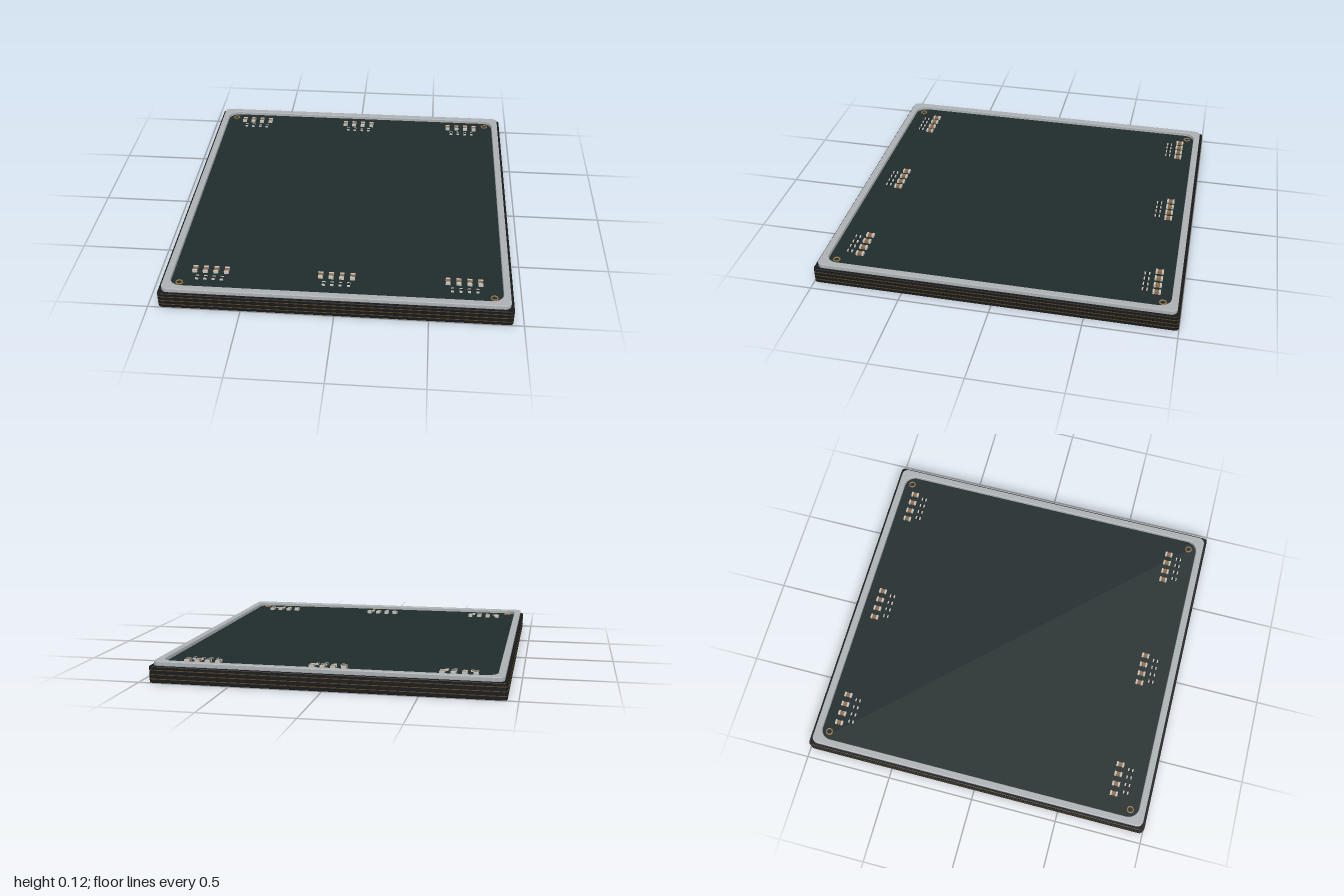
import * as THREE from 'three';

const mat = (name, color) => {
  const m = new THREE.MeshStandardMaterial({ color });
  m.name = name;
  return m;
};
const M = {
  base: mat('black laminate', 0x191919),
  board: mat('dark green solder mask', 0x202c2c),
  frame: mat('light grey metal', 0xacb1b4),
  copper: mat('copper', 0x9a7442),
  foil: mat('dull copper edge', 0x594826),
  tin: mat('tin', 0xc4c2bc),
  ceramic: mat('tan ceramic', 0x8f6a48),
  resistor: mat('black ceramic', 0x1c1c1e),
};

// Rounded rectangle outline, usable as a shape or a hole
function roundRect(hx, hz, r, P = THREE.Shape) {
  const s = new P();
  s.moveTo(-hx + r, -hz);
  s.lineTo(hx - r, -hz);
  s.absarc(hx - r, -hz + r, r, -Math.PI / 2, 0);
  s.lineTo(hx, hz - r);
  s.absarc(hx - r, hz - r, r, 0, Math.PI / 2);
  s.lineTo(-hx + r, hz);
  s.absarc(-hx + r, hz - r, r, Math.PI / 2, Math.PI);
  s.lineTo(-hx, -hz + r);
  s.absarc(-hx + r, -hz + r, r, Math.PI, Math.PI * 1.5);
  return s;
}

// Horizontal slab from y0 to y1, with an optional edge bevel
function slab(name, shape, y0, y1, material, bevel = 0) {
  const g = new THREE.ExtrudeGeometry(shape, {
    depth: y1 - y0 - 2 * bevel, curveSegments: 6, bevelEnabled: bevel > 0,
    bevelThickness: bevel, bevelSize: bevel, bevelOffset: -bevel, bevelSegments: 2,
  });
  g.rotateX(-Math.PI / 2);
  g.translate(0, y0 + bevel, 0);
  const mesh = new THREE.Mesh(g, material);
  mesh.name = name;
  return mesh;
}

function box(name, w, h, d, x, y, z, material) {
  const mesh = new THREE.Mesh(new THREE.BoxGeometry(w, h, d), material);
  mesh.position.set(x, y, z);
  mesh.name = name;
  return mesh;
}

// Small surface-mount part: body with a tin cap at each end
function chip(name, w, h, d, bodyMaterial) {
  const g = new THREE.Group();
  g.name = name;
  const cap = d * 0.24;
  g.add(box('body', w * 0.88, h * 0.92, d - 2 * cap, 0, h * 0.46, 0, bodyMaterial));
  for (const s of [-1, 1]) g.add(box('endCap', w, h, cap, 0, h / 2, s * (d - cap) / 2, M.tin));
  return g;
}

export function createModel() {
  const model = new THREE.Group();
  model.name = 'circuitBoardPanel';
  const boardTop = 0.094;

  // Laminated base with thin copper layers showing at the edge
  model.add(slab('base', roundRect(0.944, 0.999, 0.02), 0, 0.09, M.base, 0.003));
  for (const y of [0.022, 0.046, 0.07])
    model.add(slab('copperLayer', roundRect(0.945, 1, 0.02), y - 0.002, y + 0.002, M.foil));

  // Board surface
  model.add(slab('boardSurface', roundRect(0.9, 0.955, 0.02), 0.088, boardTop, M.board));

  // Raised metal frame
  const frame = roundRect(0.928, 0.983, 0.035);
  frame.holes.push(roundRect(0.89, 0.945, 0.065, THREE.Path));
  model.add(slab('frame', frame, 0.089, 0.115, M.frame, 0.004));

  // Copper rings round the corner holes
  for (const x of [-0.842, 0.842]) for (const z of [-0.902, 0.898]) {
    const ring = new THREE.Mesh(new THREE.TorusGeometry(0.018, 0.004, 6, 8), M.copper);
    ring.rotation.x = Math.PI / 2;
    ring.position.set(x, boardTop + 0.001, z);
    ring.name = 'mountingRing';
    model.add(ring);
  }

  // Six clusters: four capacitors and four smaller resistors each
  for (const x of [-0.69, -0.003, 0.685]) for (const z of [-0.862, 0.786]) {
    const cluster = new THREE.Group();
    cluster.name = 'componentCluster';
    cluster.position.set(x, boardTop, z);
    for (let i = 0; i < 4; i++) {
      const capacitor = chip('capacitor', 0.026, 0.016, 0.044, M.ceramic);
      capacitor.position.x = (i - 1.5) * 0.058;
      const resistor = chip('resistor', 0.017, 0.008, 0.031, M.resistor);
      resistor.position.set((i - 1.5) * 0.045 + 0.003, 0, 0.065);
      cluster.add(capacitor, resistor);
    }
    model.add(cluster);
  }
  return model;
}
